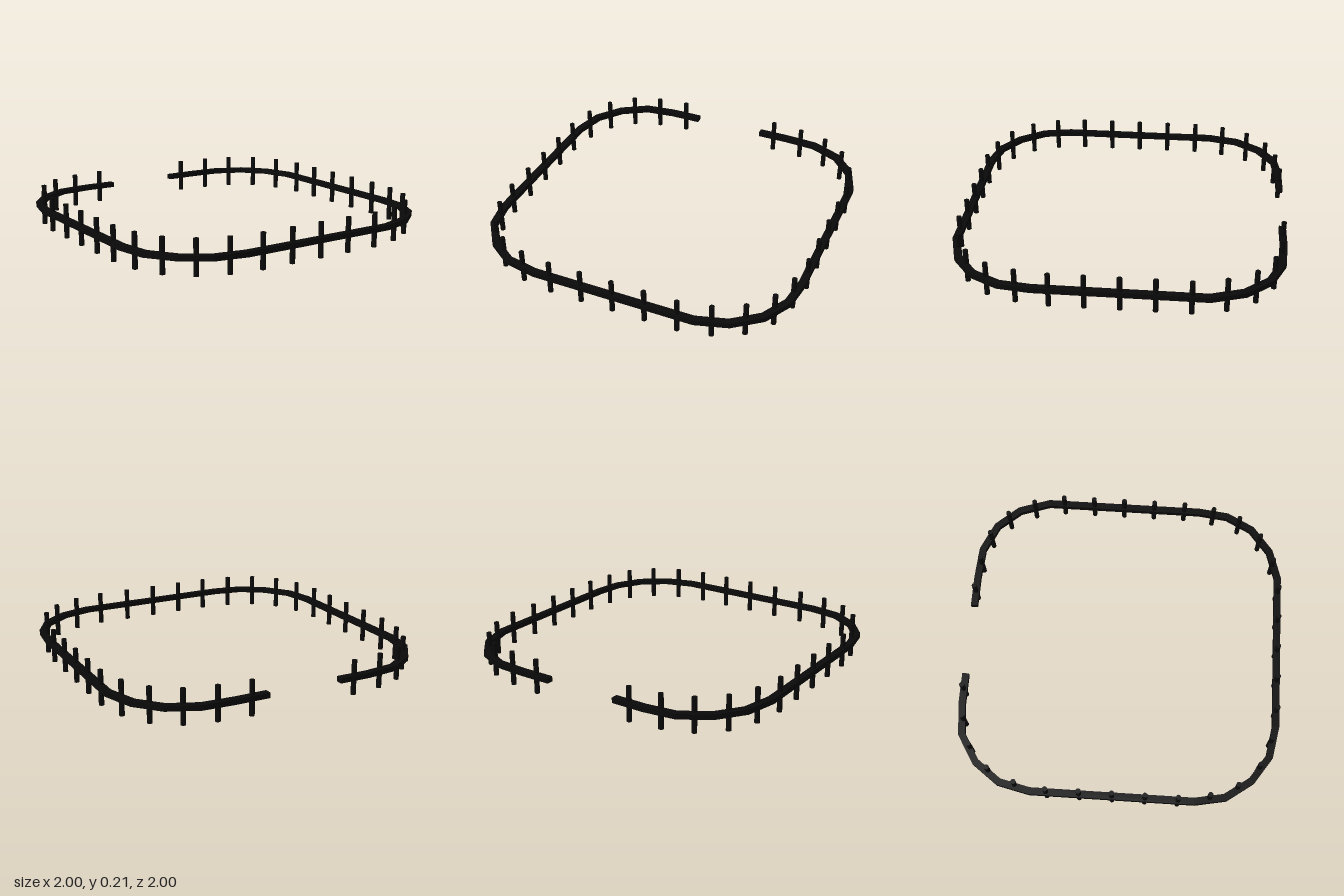
import * as THREE from 'three';

// Joints of the rail in plan (x, z), from one side of the gateway round to the other.
const JOINTS = [
  [-0.26, -0.98], [-0.463, -0.98], [-0.655, -0.957], [-0.82, -0.855], [-0.935, -0.7], [-0.979, -0.508],
  [-0.979, 0.492], [-0.943, 0.677], [-0.83, 0.835], [-0.675, 0.94], [-0.482, 0.976],
  [0.522, 0.976], [0.71, 0.921], [0.865, 0.8], [0.953, 0.635], [0.976, 0.447],
  [0.976, -0.557], [0.91, -0.75], [0.785, -0.89], [0.607, -0.968], [0.408, -0.98], [0.205, -0.98],
].map(([x, z]) => new THREE.Vector2(x, z));

const RAIL_WIDTH = 0.043, RAIL_HEIGHT = 0.032, RAIL_Y = 0.107;
const POST_RADIUS = 0.0155, POST_HEIGHT = 0.21, BAY = 0.2;

// Unit normal of a span, pointing out of the enclosure.
function outward(a, b) {
  const d = b.clone().sub(a).normalize();
  return new THREE.Vector2(d.y, -d.x);
}

// Joints moved sideways with mitred corners.
function offsetPath(points, distance) {
  return points.map((p, i) => {
    const before = outward(points[Math.max(i - 1, 0)], points[Math.max(i, 1)]);
    const last = points.length - 1;
    const after = outward(points[Math.min(i, last - 1)], points[Math.min(i + 1, last)]);
    const mitre = before.clone().add(after).normalize();
    return p.clone().addScaledVector(mitre, distance / mitre.dot(after));
  });
}

export function createModel() {
  const fence = new THREE.Group();
  fence.name = 'fence';
  const material = new THREE.MeshStandardMaterial({ color: 0x0a0a0a });

  // Rail: a flat mitred band following the joints
  const outline = [...offsetPath(JOINTS, RAIL_WIDTH / 2), ...offsetPath(JOINTS, -RAIL_WIDTH / 2).reverse()];
  const railGeometry = new THREE.ExtrudeGeometry(
    new THREE.Shape(outline.map((p) => new THREE.Vector2(p.x, -p.y))),
    { depth: RAIL_HEIGHT, bevelEnabled: false },
  );
  railGeometry.rotateX(-Math.PI / 2);
  railGeometry.translate(0, RAIL_Y - RAIL_HEIGHT / 2, 0);
  const rail = new THREE.Mesh(railGeometry, material);
  rail.name = 'rail';
  fence.add(rail);

  // Posts: one in the middle of each bay, set slightly outward round the corners
  const posts = new THREE.Group();
  posts.name = 'posts';
  const postGeometry = new THREE.CylinderGeometry(POST_RADIUS, POST_RADIUS, POST_HEIGHT, 16);
  for (let i = 0; i < JOINTS.length - 1; i++) {
    const a = JOINTS[i], b = JOINTS[i + 1];
    const bays = Math.round(a.distanceTo(b) / BAY);
    const straight = Math.abs(a.x - b.x) < 0.001 || Math.abs(a.y - b.y) < 0.001;
    const normal = outward(a, b);
    for (let k = 0; k < bays; k++) {
      const p = a.clone().lerp(b, (k + 0.5) / bays).addScaledVector(normal, straight ? 0 : 0.011);
      const post = new THREE.Mesh(postGeometry, material);
      post.name = 'post';
      post.position.set(p.x, POST_HEIGHT / 2, p.y);
      posts.add(post);
    }
  }
  fence.add(posts);
  return fence;
}
